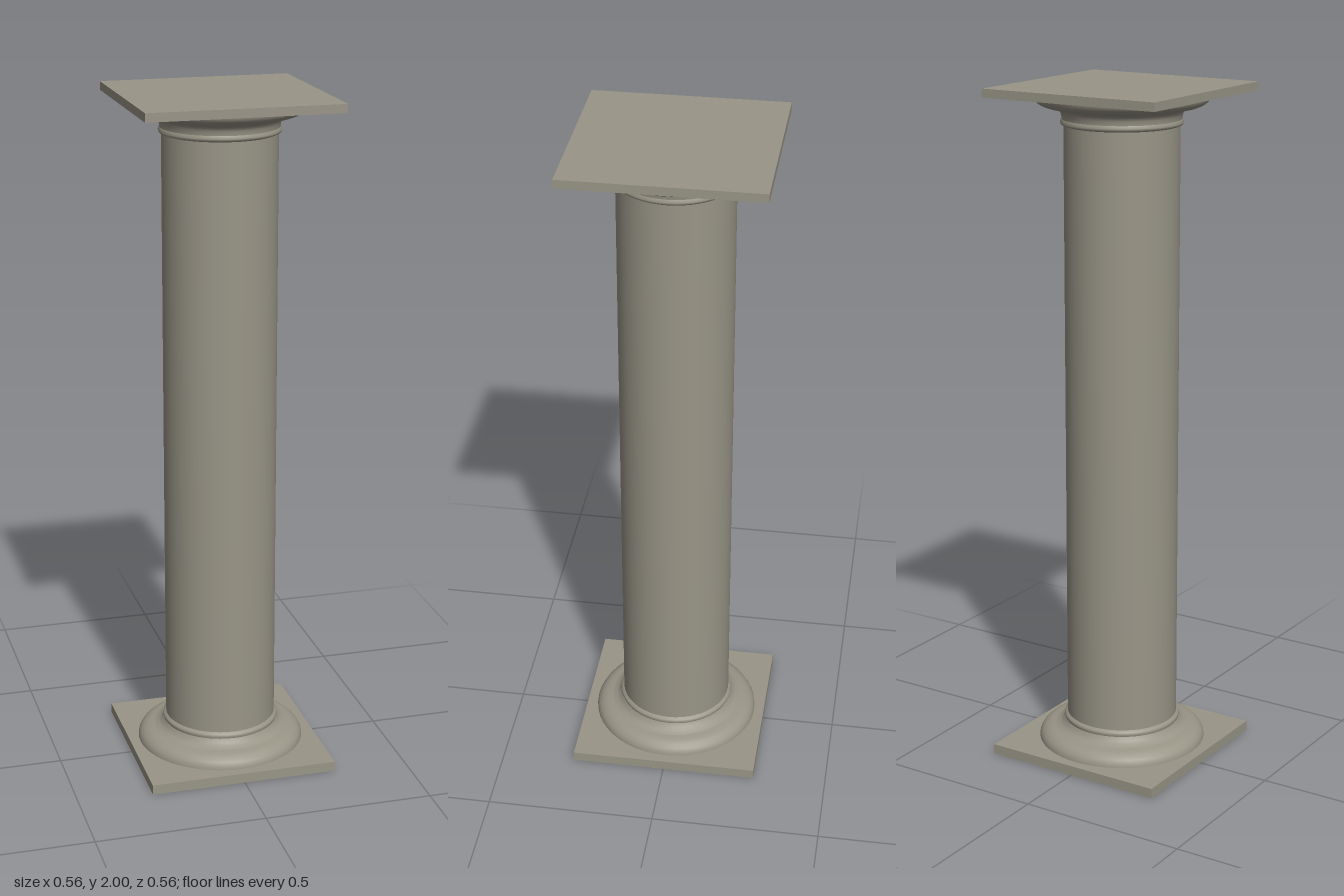
import * as THREE from 'three';

export function createModel() {
  const model = new THREE.Group();
  const stone = new THREE.MeshStandardMaterial({ color: 0x99958a });
  stone.name = 'warm grey stone';
  stone.color.set(0x999587);

  const add = (name, geometry, y = 0) => {
    const mesh = new THREE.Mesh(geometry, stone);
    mesh.name = name;
    mesh.position.y = y;
    model.add(mesh);
  };
  // Turned part from [radius, height] pairs listed bottom to top
  const turned = (name, profile) =>
    add(name, new THREE.LatheGeometry(profile.map(([r, y]) => new THREE.Vector2(r, y)), 48));

  // Square slabs at both ends
  add('plinth', new THREE.BoxGeometry(0.56, 0.03, 0.56), 0.015);
  add('abacus', new THREE.BoxGeometry(0.56, 0.025, 0.56), 1.9875);

  // Plain round shaft
  add('shaft', new THREE.CylinderGeometry(0.165, 0.165, 1.95, 48, 1, true), 1);

  // Base: rounded cushion, then a hollow sweeping up to a thin collar
  turned('baseCushion', [
    [0.25, 0.03], [0.249, 0.04], [0.243, 0.051], [0.232, 0.061], [0.218, 0.067], [0.2, 0.07],
  ]);
  turned('baseHollow', [[0.2, 0.07], [0.187, 0.075], [0.178, 0.083], [0.172, 0.094]]);
  turned('baseCollar', [[0.172, 0.094], [0.174, 0.1], [0.173, 0.107], [0.165, 0.112]]);

  // Capital: thin collar, hollow neck and flaring cushion under the abacus
  turned('capitalCollar', [[0.165, 1.89], [0.172, 1.893], [0.174, 1.9], [0.17, 1.908]]);
  turned('capitalNeck', [[0.17, 1.908], [0.171, 1.92], [0.176, 1.931], [0.187, 1.938], [0.2, 1.941]]);
  turned('capitalCushion', [
    [0.2, 1.941], [0.218, 1.944], [0.232, 1.949], [0.243, 1.957], [0.249, 1.966], [0.25, 1.975],
  ]);

  return model;
}
